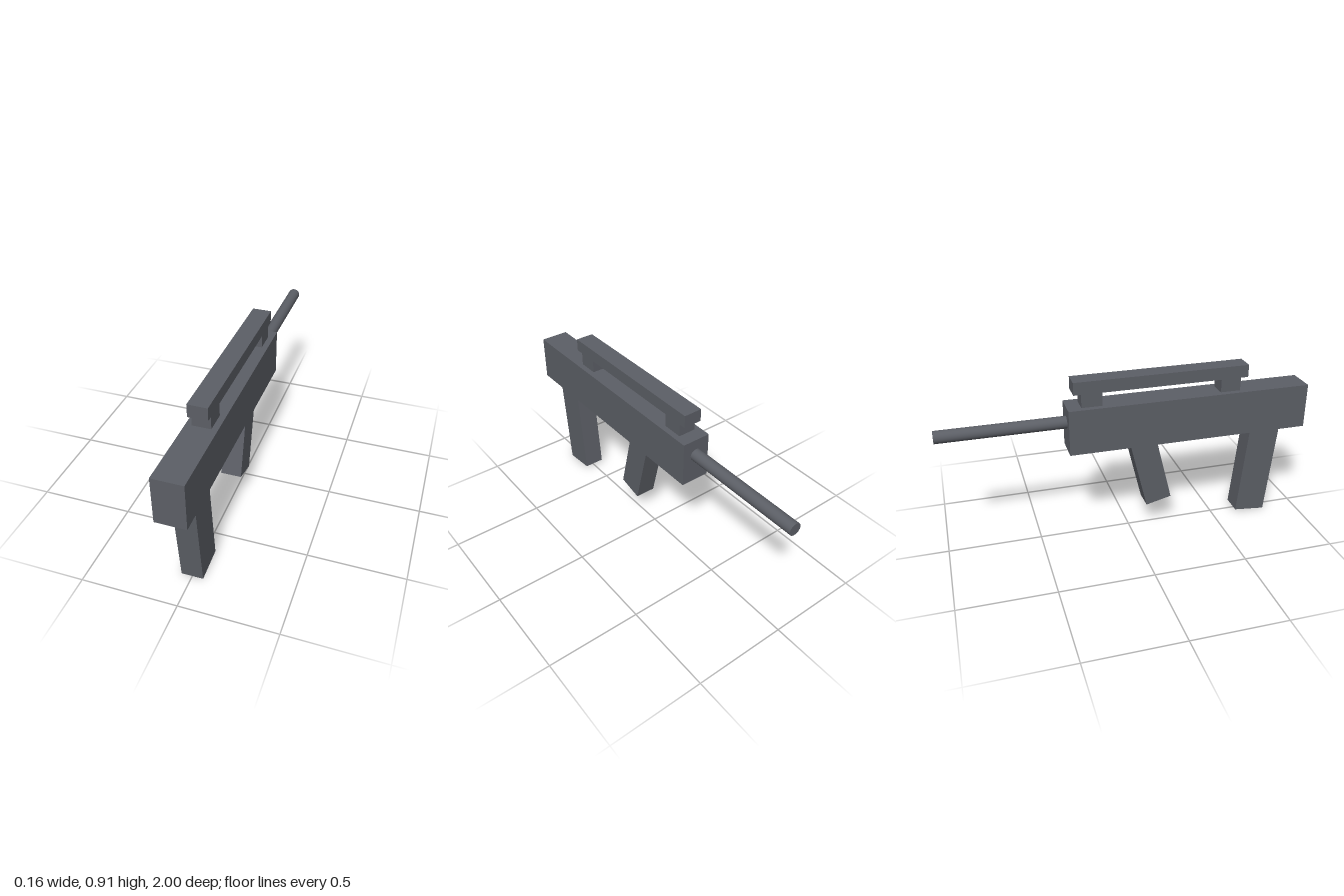
import * as THREE from 'three';

export function createModel() {
  const group = new THREE.Group();
  const gunmetal = new THREE.MeshStandardMaterial({ color: 0x5c5f66 });
  gunmetal.name = 'gunmetal grey';

  function add(name, geometry, y, z, tilt = 0) {
    const mesh = new THREE.Mesh(geometry, gunmetal);
    mesh.name = name;
    mesh.position.set(0, y, z);
    mesh.rotation.x = tilt;
    group.add(mesh);
  }
  const box = (w, h, d) => new THREE.BoxGeometry(w, h, d);

  // Receiver block and barrel, which points to -z
  add('body', box(0.156, 0.247, 1.333), 0.6435, 0.3335);
  const barrel = new THREE.CylinderGeometry(0.033, 0.033, 0.687, 32);
  barrel.rotateX(Math.PI / 2);
  add('barrel', barrel, 0.678, -0.6565);

  // Carry rail on two posts
  add('rail', box(0.1, 0.068, 0.95), 0.874, 0.175);
  for (const [name, z] of [['rearPost', 0.555], ['frontPost', -0.205]]) {
    add(name, box(0.094, 0.074, 0.11), 0.804, z);
  }

  // Slanted magazine and grip under the body
  add('magazine', box(0.113, 0.508, 0.175), 0.261, 0.7475, 0.099);
  add('grip', box(0.113, 0.381, 0.144), 0.344, 0.115, -0.24);

  return group;
}
